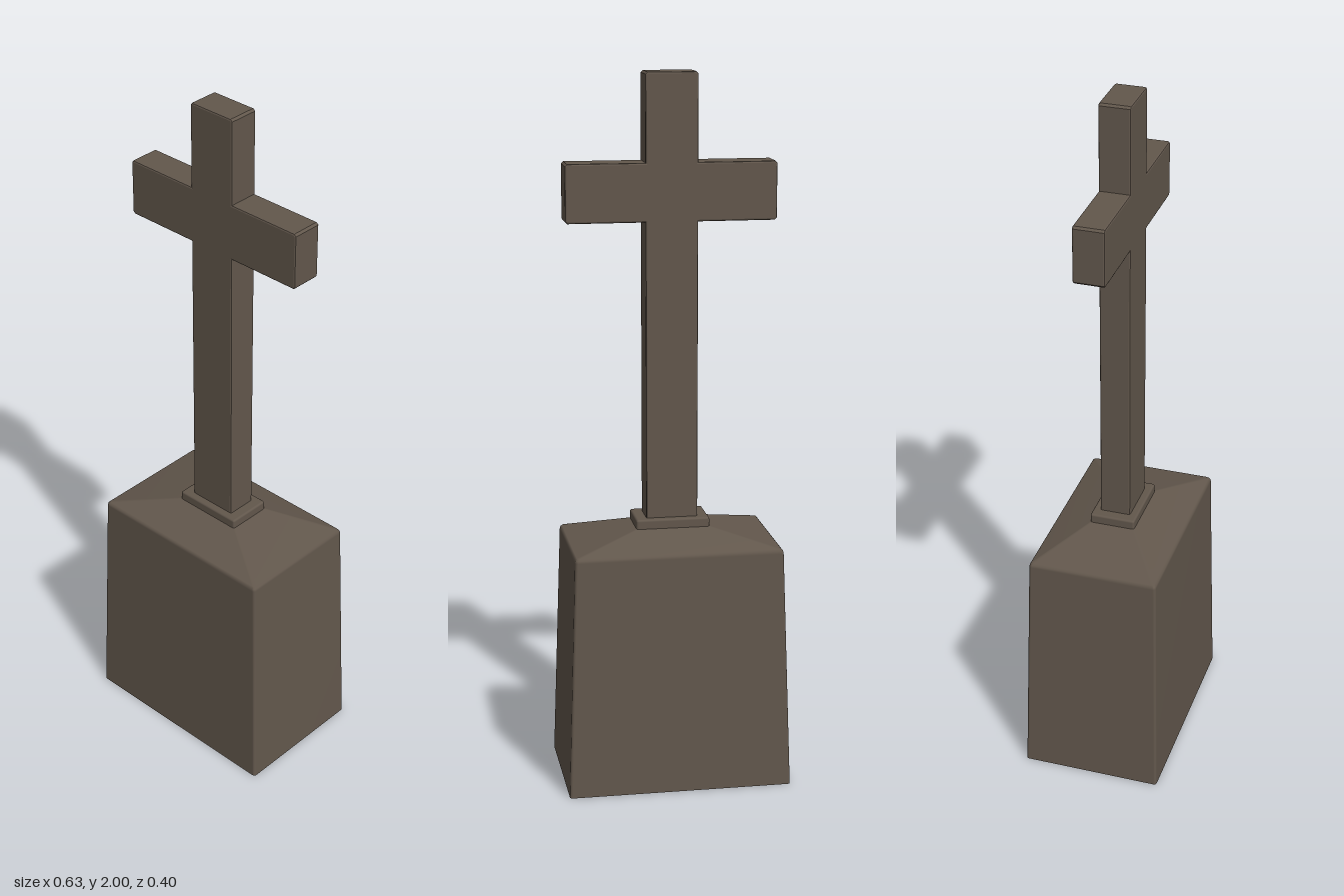
import * as THREE from 'three';
import { RoundedBoxGeometry } from 'three/addons/geometries/RoundedBoxGeometry.js';

const stone = new THREE.MeshStandardMaterial({ color: 0x62574c, side: THREE.DoubleSide });
stone.name = 'brownStone';

// Rounded rectangle in plan: a small arc at each of the four corners
function ring(halfX, halfZ, y, radius, steps = 3) {
  const points = [];
  const corners = [[1, 1], [-1, 1], [-1, -1], [1, -1]];
  corners.forEach(([sx, sz], c) => {
    for (let i = 0; i <= steps; i++) {
      const a = (c + i / steps) * Math.PI / 2;
      points.push([
        sx * (halfX - radius) + radius * Math.cos(a), y,
        sz * (halfZ - radius) + radius * Math.sin(a),
      ]);
    }
  });
  return points;
}

// Skin between successive rings with smooth normals, open at both ends
function loft(rings) {
  const n = rings[0].length;
  const index = [];
  for (let r = 0; r < rings.length - 1; r++) {
    for (let i = 0; i < n; i++) {
      const a = r * n + i, b = r * n + (i + 1) % n;
      index.push(a, a + n, b, b, a + n, b + n);
    }
  }
  const geometry = new THREE.BufferGeometry();
  geometry.setAttribute('position', new THREE.Float32BufferAttribute(rings.flat(2), 3));
  geometry.setIndex(index);
  geometry.computeVertexNormals();
  return geometry;
}

// Bevelled slab in the shape of a cross, with softened outer corners
function crossGeometry() {
  const bevel = 0.005, shaft = 0.073 - bevel, arm = 0.293 - bevel;
  const low = 1.595 + bevel, high = 1.757 - bevel, top = 2 - bevel, foot = 0.745, c = 0.003;
  const right = [
    [shaft, foot], [shaft, low], [arm - c, low], [arm, low + c],
    [arm, high - c], [arm - c, high], [shaft, high], [shaft, top - c], [shaft - c, top],
  ];
  const left = right.map(([x, y]) => [-x, y]).reverse();
  const shape = new THREE.Shape([...right, ...left].map(([x, y]) => new THREE.Vector2(x, y)));
  const depth = 0.088 - 2 * bevel;
  return new THREE.ExtrudeGeometry(shape, {
    depth, bevelEnabled: true, bevelSize: bevel, bevelThickness: bevel, bevelSegments: 2,
  }).translate(0, 0, -depth / 2);
}

export function createModel() {
  const model = new THREE.Group();
  model.name = 'stoneCross';
  const add = (name, geometry) => {
    const mesh = new THREE.Mesh(geometry, stone);
    mesh.name = name;
    model.add(mesh);
    return mesh;
  };

  // Tapered hollow pedestal, open underneath, with a rounded shoulder and hipped top
  add('pedestal', loft([
    ring(0.316, 0.2, 0, 0.008),
    ring(0.293, 0.185, 0.68, 0.008),
    ring(0.2915, 0.1835, 0.687, 0.008),
    ring(0.287, 0.179, 0.692, 0.008),
    ring(0.1, 0.061, 0.737, 0.004),
  ]));

  // Low plinth under the shaft
  add('plinth', new RoundedBoxGeometry(0.208, 0.032, 0.13, 2, 0.006)).position.y = 0.746;

  // Upright shaft and arms in one piece
  add('cross', crossGeometry());

  return model;
}
